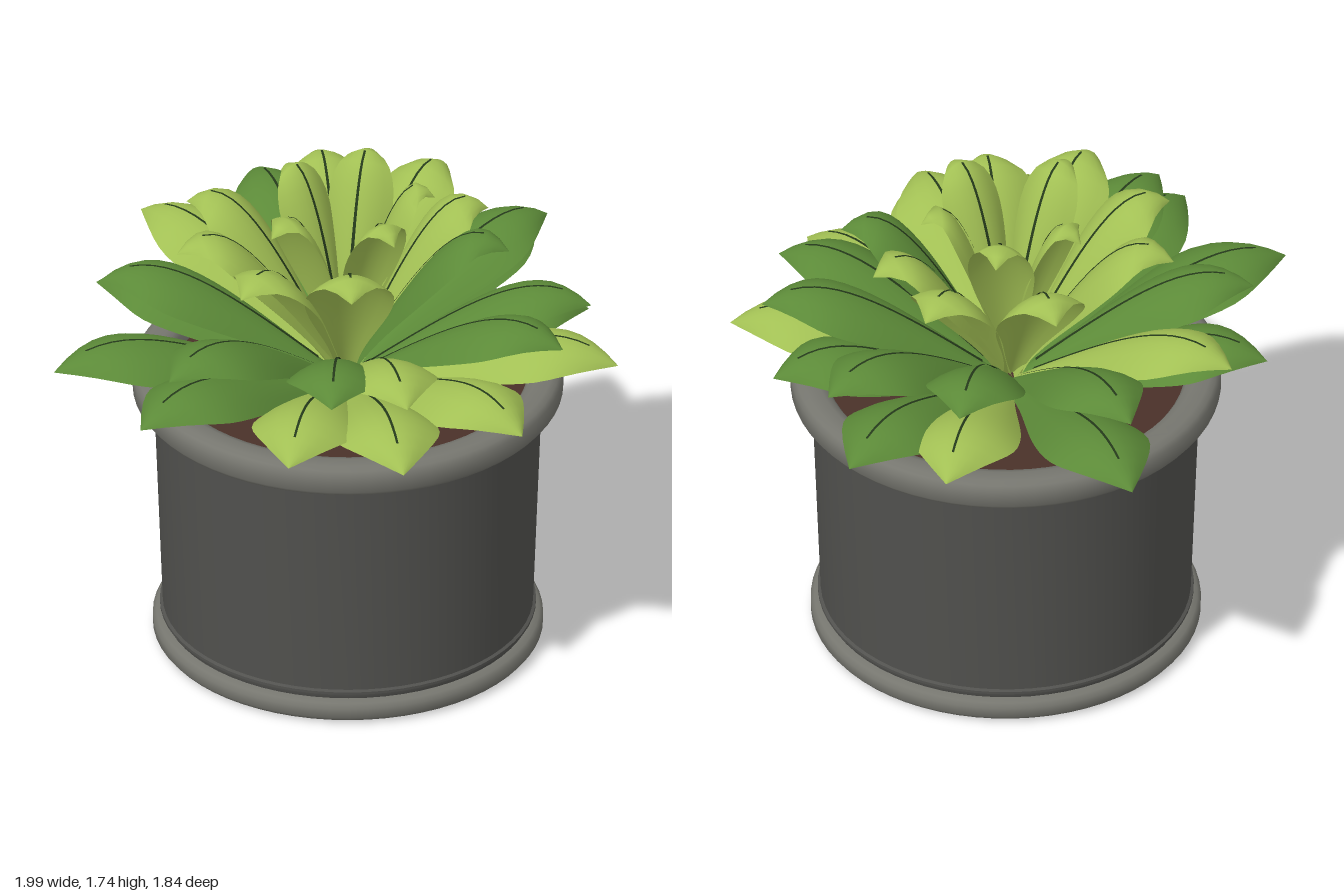
import * as THREE from 'three';
import { toCreasedNormals } from 'three/addons/utils/BufferGeometryUtils.js';

const mat = (name, color, side = THREE.FrontSide) => {
  const m = new THREE.MeshStandardMaterial({ color, side });
  m.name = name;
  return m;
};

// Leaf tips of each tier as [x, z], split by colour
const outerTips = {
  dark: [[-1, 0], [0.99, -0.06], [0.51, -0.92], [-0.93, -0.49], [0.7, 0.49], [-0.39, -0.82]],
  light: [[0.86, -0.38], [0.51, 0.82], [-0.06, 0.92], [-0.54, 0.82], [-0.8, 0.52]],
};
const middleTips = {
  dark: [[-0.88, 0.02], [0.86, 0.13], [0.69, -0.31], [0.36, -0.8], [-0.55, -0.64], [-0.6, 0.53], [0.26, 0.8], [0.54, 0.66]],
  light: [[-0.11, -0.88], [-0.41, 0.71]],
};
const innerTips = {
  dark: [[0.3, 0.5]],
  light: [[-0.59, 0.08], [0.57, -0.07], [0.31, -0.44], [-0.24, -0.53], [-0.52, -0.3], [-0.34, 0.37], [0.46, 0.24]],
};
const heartTips = {
  dark: [],
  light: [[-0.36, 0], [0.3, -0.17], [0, -0.31], [0.24, 0.2], [-0.1, 0.34]],
};

// Half width along a leaf: narrow foot, broad shoulder, pointed tip
const widthAt = (t) => (t < 0.68
  ? 0.22 + 0.78 * THREE.MathUtils.smoothstep(t, 0, 0.68)
  : 1 - ((t - 0.68) / 0.32) ** 2);

// Grid surface along a midrib; leaf grows along +x, upper side faces up and inward
function ribSurface(curve, t0, t1, rows, cols, halfWidth, arch, lift) {
  const pos = [], index = [];
  for (let i = 0; i <= rows; i++) {
    const t = t0 + (t1 - t0) * i / rows;
    const p = curve.getPointAt(t), d = curve.getTangentAt(t);
    const w = halfWidth(t);
    for (let j = 0; j <= cols; j++) {
      const u = j / cols * 2 - 1;
      const h = lift - arch * w * u * u;
      pos.push(p.x - d.y * h, p.y + d.x * h, u * w);
      if (i < rows && j < cols) {
        const a = i * (cols + 1) + j, b = a + cols + 1;
        index.push(a, a + 1, b, a + 1, b + 1, b);
      }
    }
  }
  const g = new THREE.BufferGeometry();
  g.setAttribute('position', new THREE.Float32BufferAttribute(pos, 3));
  g.setIndex(index);
  g.computeVertexNormals();
  return g;
}

export function createModel() {
  const root = new THREE.Group();
  const potMat = mat('charcoal pot', 0x51514e);
  const trimMat = mat('grey trim', 0x76766f);
  const soilMat = mat('brown soil', 0x4a3129);
  const veinMat = mat('dark vein', 0x24391a, THREE.DoubleSide);
  const leafMats = {
    light: mat('light green leaf', 0xa2c054, THREE.DoubleSide),
    dark: mat('deep green leaf', 0x5c8a38, THREE.DoubleSide),
  };

  const pot = new THREE.Group();
  pot.name = 'pot';
  pot.position.z = 0.015;
  root.add(pot);
  const lathe = (name, pts, material) => {
    const g = new THREE.LatheGeometry(pts.map(([x, y]) => new THREE.Vector2(x, y)), 64);
    const m = new THREE.Mesh(toCreasedNormals(g, 0.7), material);
    m.name = name;
    pot.add(m);
  };

  // Tapered body with a thin bead at foot and shoulder, closed underneath
  lathe('potBody', [[0, 0.035], [0.6, 0.035], [0.635, 0.08], [0.637, 0.1], [0.648, 0.104], [0.648, 0.113],
    [0.638, 0.118], [0.668, 0.915], [0.68, 0.92], [0.68, 0.93], [0.67, 0.935], [0.67, 0.96]], potMat);
  lathe('potRim', [[0.65, 0.94], [0.71, 0.94], [0.73, 0.95], [0.742, 0.965], [0.742, 1.025], [0.73, 1.042],
    [0.71, 1.053], [0.66, 1.053], [0.635, 1.045], [0.62, 1.025], [0.615, 0.95]], trimMat);
  lathe('potFoot', [[0.57, 0.05], [0.575, 0.015], [0.6, 0], [0.64, 0], [0.66, 0.01], [0.672, 0.025],
    [0.672, 0.06], [0.66, 0.075], [0.635, 0.083], [0.6, 0.083]], trimMat);
  lathe('drainPlug', [[0, 0.015], [0.045, 0.025], [0.05, 0.04]], trimMat);
  lathe('soil', [[0.64, 0.98], [0.3, 0.99], [0, 1]], soilMat);

  // Rosette: tiers of arched leaves with drooping tips, each with a midrib vein
  const plant = new THREE.Group();
  plant.name = 'plant';
  root.add(plant);

  // rib: control points (radius, height) of the midrib curve; sag lowers the leaves towards the front
  const addTier = (name, tips, half, sag, rib) => {
    const reach = rib[3][0];
    for (const shade of ['dark', 'light']) {
      tips[shade].forEach(([x, z], i) => {
        const s = Math.hypot(x, z) / reach;
        const curve = new THREE.CubicBezierCurve3(...rib.map(([r, y]) =>
          new THREE.Vector3(r * s, y - sag * Math.max(0, z) * r / reach, 0)));
        const leaf = new THREE.Group();
        leaf.name = `${name} ${shade} ${i + 1}`;
        leaf.rotation.y = Math.atan2(-z, x);
        const blade = new THREE.Mesh(
          ribSurface(curve, 0, 1, 18, 8, (t) => half * widthAt(t), 0.45, 0), leafMats[shade]);
        blade.name = 'blade';
        const vein = new THREE.Mesh(
          ribSurface(curve, 0.1, 0.88, 18, 1, (t) => 0.007 * (1.1 - 0.6 * t), 0, 0.005), veinMat);
        vein.name = 'vein';
        leaf.add(blade, vein);
        plant.add(leaf);
      });
    }
  };
  addTier('outerLeaf', outerTips, 0.185, 0.04, [[0.02, 0.98], [0.55, 1.2], [0.75, 1.38], [1, 1.19]]);
  addTier('middleLeaf', middleTips, 0.17, 0.03, [[0.02, 1], [0.45, 1.33], [0.68, 1.5], [0.88, 1.34]]);
  addTier('innerLeaf', innerTips, 0.155, 0, [[0.015, 1.02], [0.25, 1.45], [0.42, 1.76], [0.58, 1.57]]);
  addTier('heartLeaf', heartTips, 0.115, 0, [[0.005, 1.05], [0.12, 1.6], [0.24, 1.86], [0.34, 1.685]]);
  return root;
}
